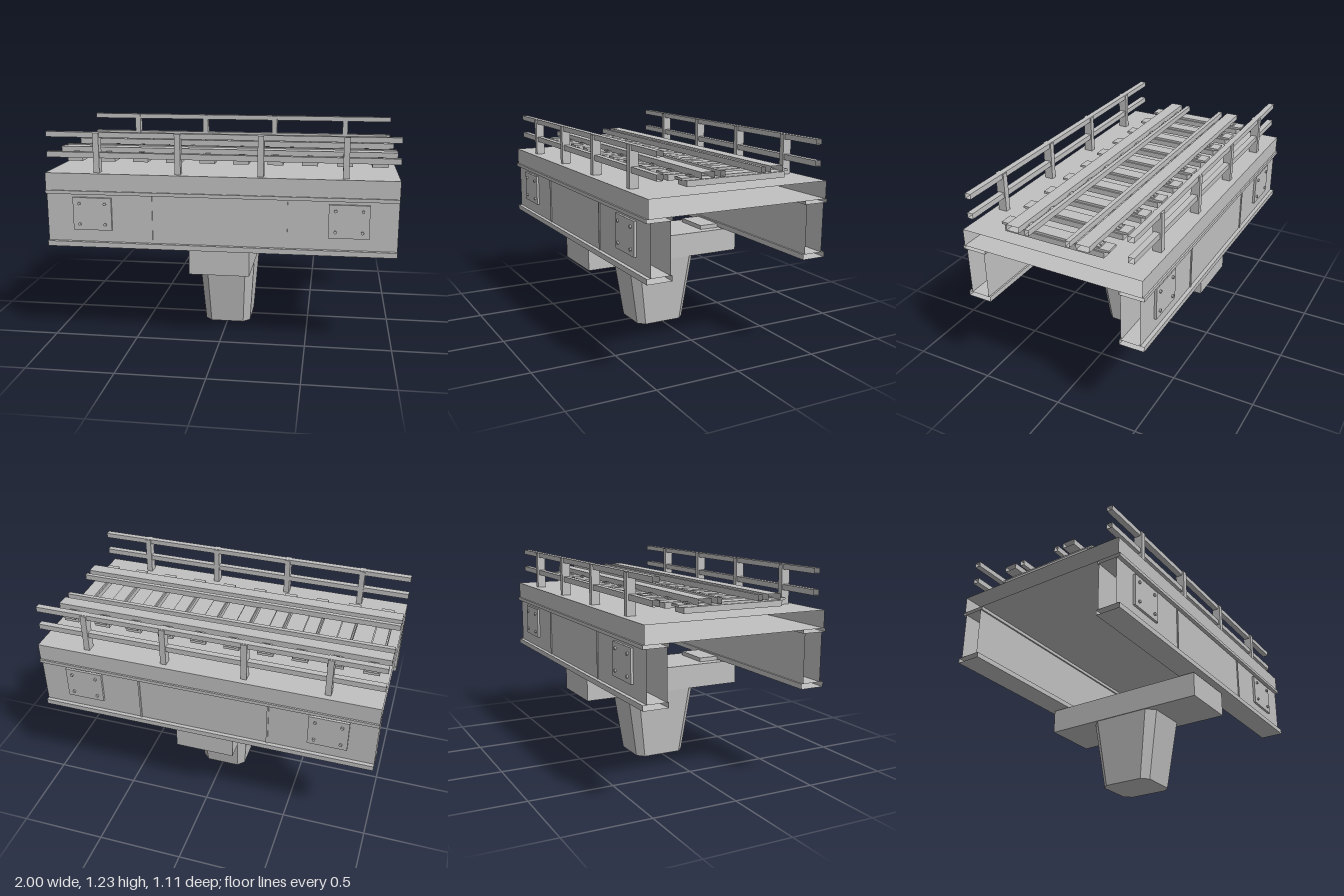
import * as THREE from 'three';
import { ConvexGeometry } from 'three/addons/geometries/ConvexGeometry.js';

export function createModel() {
  const model = new THREE.Group();
  const grey = new THREE.MeshStandardMaterial({ color: 0xc0c0c0, side: THREE.DoubleSide });
  grey.name = 'concreteGrey';

  function add(name, geometry, parent = model) {
    const mesh = new THREE.Mesh(geometry, grey);
    mesh.name = name;
    parent.add(mesh);
    return mesh;
  }

  function group(name) {
    const g = new THREE.Group();
    g.name = name;
    model.add(g);
    return g;
  }

  // Closed block between two corners
  function block(name, x0, x1, y0, y1, z0, z1, parent) {
    const geo = new THREE.BoxGeometry(x1 - x0, y1 - y0, Math.abs(z1 - z0));
    geo.translate((x0 + x1) / 2, (y0 + y1) / 2, (z0 + z1) / 2);
    return add(name, geo, parent);
  }

  // Full-length section along x with open ends, so that spans can be chained
  function span(name, y0, y1, z0, z1, parent) {
    const mesh = block(name, -1, 1, y0, y1, z0, z1, parent);
    const index = Array.from(mesh.geometry.index.array).slice(12);
    mesh.geometry.setIndex(index);
    mesh.geometry.clearGroups();
    return mesh;
  }

  // Tapered pier with chamfered corners
  const ring = (y, x, xFlat, z, zFlat) => [-1, 1].flatMap(i => [-1, 1].flatMap(k => [
    new THREE.Vector3(i * x, y, k * zFlat),
    new THREE.Vector3(i * xFlat, y, k * z),
  ]));
  add('pier', new ConvexGeometry([
    ...ring(0, 0.14, 0.1, 0.16, 0.12),
    ...ring(0.42, 0.17, 0.12, 0.225, 0.175),
  ]));
  block('pierCap', -0.175, 0.175, 0.417, 0.565, -0.515, 0.515);

  // Deck slab
  span('deck', 0.9, 1, -0.545, 0.545);

  for (const s of [1, -1]) {
    const side = s > 0 ? 'front' : 'back';

    // Box girder with flanges and stiffeners
    const girder = group(side + 'Girder');
    block('bearing', -0.12, 0.12, 0.565, 0.59, s * 0.285, s * 0.432, girder);
    span('web', 0.6, 0.88, s * 0.42, s * 0.532, girder);
    span('bottomFlange', 0.57, 0.6, s * 0.41, s * 0.555, girder);
    span('topFlange', 0.88, 0.9, s * 0.41, s * 0.555, girder);
    for (const x of [-0.385, 0.385]) {
      block('stiffener', x - 0.005, x + 0.005, 0.6, 0.88, s * 0.53, s * 0.538, girder);
    }

    // Bolted splice plates
    for (const x of [-0.73, 0.73]) {
      block('splicePlate', x - 0.113, x + 0.113, 0.67, 0.86, s * 0.53, s * 0.546, girder);
      for (const dx of [-0.075, 0.075]) for (const y of [0.705, 0.825]) {
        const bolt = add('bolt', new THREE.CylinderGeometry(0.009, 0.009, 0.01, 8), girder);
        bolt.rotation.x = Math.PI / 2;
        bolt.position.set(x + dx, y, s * 0.55);
      }
    }

    // Railing
    const railing = group(side + 'Railing');
    span('topRail', 1.2, 1.23, s * 0.465, s * 0.5, railing);
    span('lowerRail', 1.083, 1.115, s * 0.465, s * 0.5, railing);
    for (const x of [-0.705, -0.235, 0.235, 0.705]) {
      block('post', x - 0.017, x + 0.017, 0.985, 1.228, s * 0.458, s * 0.51, railing);
    }

    // Running rail and inner guard rail
    const track = group(side + 'Rails');
    span('runningRail', 1.075, 1.108, s * 0.172, s * 0.248, track);
    span('guardRail', 1.075, 1.108, s * 0.11, s * 0.135, track);
  }

  // Sleepers with tie plates and rail clips
  const sleepers = group('sleepers');
  for (let i = 0; i < 10; i++) {
    const x = -0.9 + 0.2 * i;
    block('sleeper', x - 0.046, x + 0.046, 1.03, 1.062, -0.3, 0.3, sleepers);
    block('tiePlate', x - 0.038, x + 0.038, 1.062, 1.075, -0.325, 0.325, sleepers);
    for (const s of [1, -1]) {
      block('railSeat', x - 0.03, x + 0.03, 1.075, 1.08, s * 0.16, s * 0.27, sleepers);
      for (const z of [0.164, 0.264]) {
        block('clip', x - 0.015, x + 0.015, 1.075, 1.086, s * (z - 0.006), s * (z + 0.006), sleepers);
      }
    }
  }

  return model;
}
